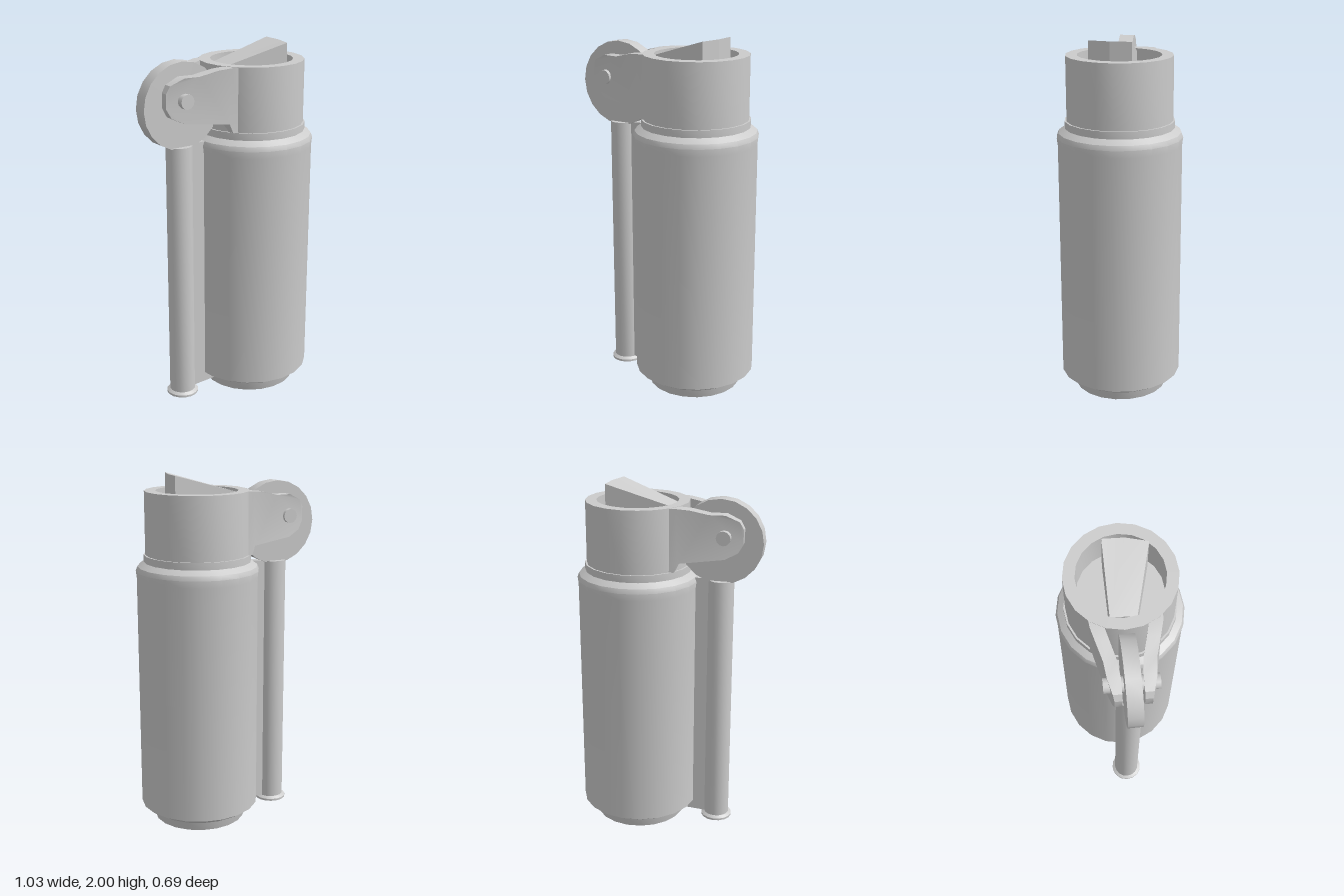
import * as THREE from 'three';
import { toCreasedNormals } from 'three/addons/utils/BufferGeometryUtils.js';

const AXIS_X = 0.165; // vertical axis of the canister

export function createModel() {
  const model = new THREE.Group();
  const material = new THREE.MeshStandardMaterial({ color: 0xcccccc });

  const add = (parent, name, geometry, crease = 0.5) => {
    const mesh = new THREE.Mesh(toCreasedNormals(geometry, crease), material);
    mesh.name = name;
    parent.add(mesh);
    return mesh;
  };
  const toPoints = (list) => list.map(([x, y]) => new THREE.Vector2(x, y));
  const lathe = (list, sides = 20) => new THREE.LatheGeometry(toPoints(list), sides);
  const extrude = (list, depth) =>
    new THREE.ExtrudeGeometry(new THREE.Shape(toPoints(list)), { depth, bevelEnabled: false });

  // Canister with narrowed foot and rounded shoulder
  const body = lathe([
    [0, 0], [0.262, 0], [0.275, 0.05], [0.34, 0.09], [0.34, 1.43],
    [0.345, 1.47], [0.335, 1.495], [0.3, 1.52], [0.3, 1.56], [0, 1.56],
  ]);
  add(model, 'canisterBody', body).position.x = AXIS_X;

  // Cap with an open cup in its top
  const cap = lathe([[0, 1.55], [0.29, 1.55], [0.29, 1.91], [0.228, 1.91], [0.228, 1.71], [0, 1.71]]);
  add(model, 'cap', cap).position.x = AXIS_X;

  // Sloping wedge lever standing in the cup
  const lever = extrude([[-0.06, 0], [-0.02, -0.13], [0.335, -0.1], [0.325, 0.02], [0.29, 0.13]], 1);
  lever.rotateX(-Math.PI / 2);
  const lp = lever.attributes.position;
  for (let i = 0; i < lp.count; i++) {
    const along = lp.getX(i) * 0.94 - lp.getZ(i) * 0.342;
    lp.setY(i, lp.getY(i) > 0.5 ? Math.min(2, 1.895 + (along + 0.06) * 0.32) : 1.7);
  }
  add(model, 'wedgeLever', lever, 0.2);

  // Side assembly: local +x points outward from the canister
  const side = new THREE.Group();
  side.name = 'sideAssembly';
  side.position.x = AXIS_X;
  side.rotation.y = Math.PI + 0.349;
  model.add(side);

  // Fork: two mirrored prongs that draw together toward the tip
  const profile = [
    [0.2, 1.56], [0.25, 1.56], [0.27, 1.61], [0.43, 1.625], [0.515, 1.635], [0.585, 1.67], [0.612, 1.72],
    [0.612, 1.8], [0.59, 1.84], [0.515, 1.875], [0.43, 1.875], [0.33, 1.9], [0.26, 1.908], [0.2, 1.908],
  ];
  const ramp = (u, a, b) => THREE.MathUtils.lerp(a, b, THREE.MathUtils.smoothstep(u, 0.2, 0.5));
  for (const s of [1, -1]) {
    const prong = extrude(profile, 1);
    const p = prong.attributes.position;
    for (let i = 0; i < p.count; i++) {
      const u = p.getX(i);
      const inner = ramp(u, 0.115, 0.055);
      const outer = ramp(u, 0.185, 0.122) - Math.max(0, u - 0.52) * 0.3;
      const t = p.getZ(i);
      p.setZ(i, s > 0 ? inner + t * (outer - inner) : -outer + t * (outer - inner));
    }
    add(side, s > 0 ? 'forkProngBack' : 'forkProngFront', prong);
  }

  // Wheel held between the prongs, and its pin
  const disc = (radius, width, sides) =>
    new THREE.CylinderGeometry(radius, radius, width, sides).rotateX(Math.PI / 2);
  add(side, 'wheel', disc(0.236, 0.08, 20)).position.set(0.477, 1.71, 0);
  add(side, 'wheelPin', disc(0.04, 0.285, 12), 0.6).position.set(0.51, 1.755, 0);

  // Upright rod with a flared foot
  const rod = lathe([
    [0, 0.008], [0.09, 0.008], [0.09, 0.02], [0.073, 0.032], [0.073, 1.49], [0, 1.49],
  ], 16);
  add(side, 'rod', rod).position.x = 0.478;

  // Thin web joining the rod to the canister
  const web = extrude([[0.24, 0.04], [0.47, 0.03], [0.47, 1.49], [0.24, 1.5]], 0.05);
  web.translate(0, 0, -0.025);
  add(side, 'rodWeb', web);

  return model;
}
